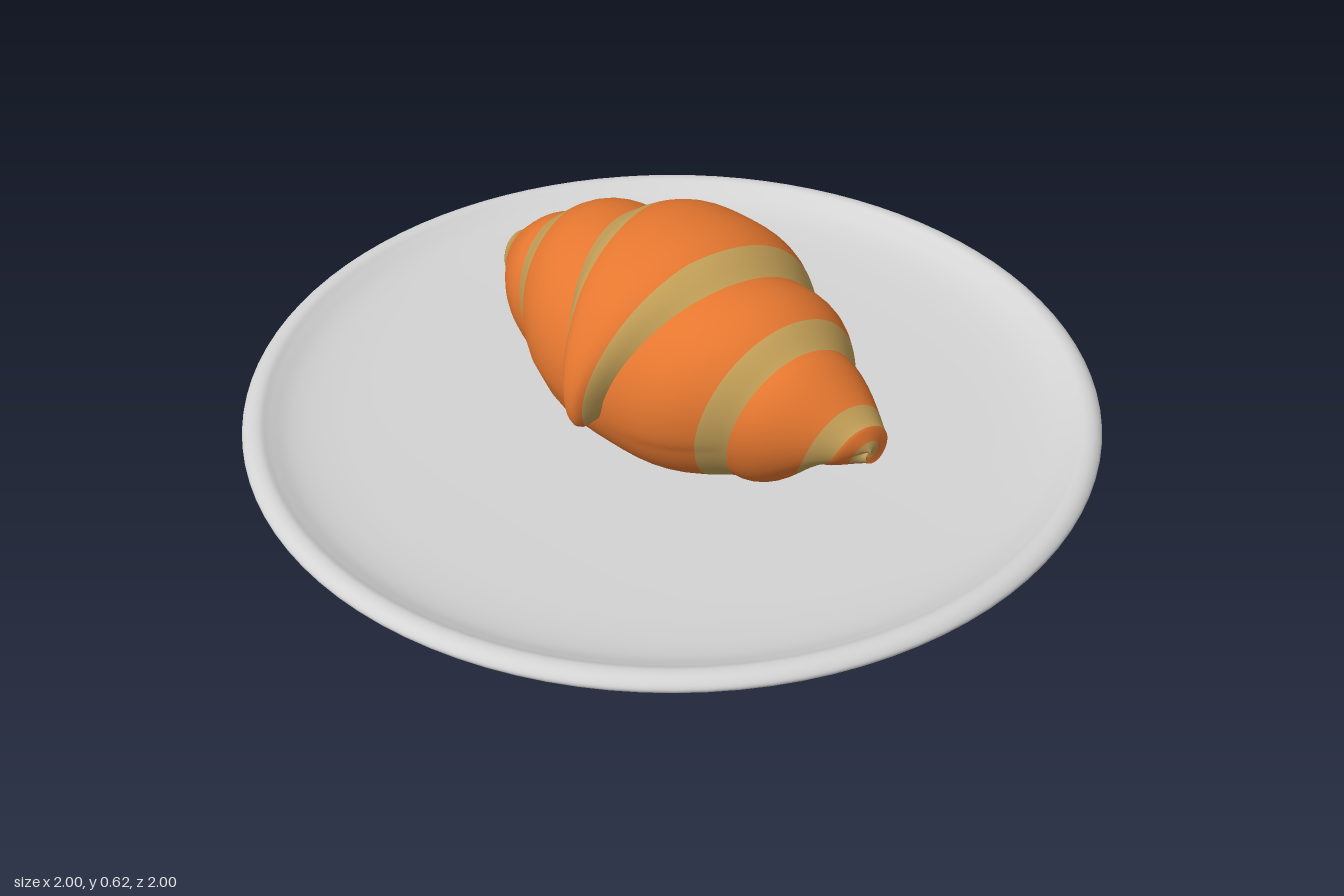
import * as THREE from 'three';

const AXIS_Y = 0.3, TIP_ANGLE = -18, END = 1440, ROWS = 480, COLS = 12, SPLIT = 6;

// Rolled sheet, unrolled angle in degrees from the outer tip: [angle, radius] and [angle, half width]
const RADIUS = [[0, 0.285], [6, 0.318], [20, 0.33], [55, 0.318], [108, 0.32], [190, 0.358], [216, 0.33], [245, 0.285],
  [288, 0.26], [360, 0.268], [468, 0.255], [558, 0.265], [648, 0.215], [720, 0.165], [828, 0.17], [918, 0.155], [1008, 0.085],
  [1080, 0.06], [1188, 0.06], [1278, 0.06], [1440, 0]];
const WIDTH = [[0, 0], [6, 0.028], [20, 0.05], [108, 0.19], [198, 0.23], [288, 0.27], [360, 0.325], [468, 0.4],
  [558, 0.43], [648, 0.465], [720, 0.525], [828, 0.565], [918, 0.58], [1008, 0.58], [1080, 0.578], [1188, 0.585], [1440, 0.57]];

// Smooth curve through the samples of a table
function sample(table, a) {
  const n = table.length - 1;
  if (a <= table[0][0]) return table[0][1];
  if (a >= table[n][0]) return table[n][1];
  let i = 0;
  while (table[i + 1][0] < a) i++;
  const slope = (k) => {
    const p = table[Math.max(k - 1, 0)], q = table[Math.min(k + 1, n)];
    return (q[1] - p[1]) / (q[0] - p[0]);
  };
  const [x0, y0] = table[i], [x1, y1] = table[i + 1];
  const h = x1 - x0, t = (a - x0) / h, t2 = t * t, t3 = t2 * t;
  return (2 * t3 - 3 * t2 + 1) * y0 + (t3 - 2 * t2 + t) * h * slope(i)
    + (3 * t2 - 2 * t3) * y1 + (t3 - t2) * h * slope(i + 1);
}

// One half of the roll: each turn runs from the edge of the turn above it to its own soft edge
function rolledHalf(side) {
  const positions = [], crust = [], edge = [];
  for (let i = 0; i <= ROWS; i++) {
    const a = END * i / ROWS;
    const theta = THREE.MathUtils.degToRad(a + TIP_ANGLE);
    const inner = sample(WIDTH, a - 360), outer = sample(WIDTH, a);
    const span = Math.max(outer - inner, 0.0001);
    const r1 = sample(RADIUS, a), r2 = sample(RADIUS, a + 360);
    const stripe = Math.min(0.075 - a * 0.00004, 0.4 * span);
    const split = 1 - stripe / span;
    // the inner turns taper more like a cone
    const power = 3 - 1.5 * THREE.MathUtils.smoothstep(a, 468, 828);
    for (let j = 0; j <= COLS; j++) {
      const s = j <= SPLIT ? split * j / SPLIT : split + (1 - split) * (j - SPLIT) / (COLS - SPLIT);
      const r = r2 + (r1 - r2) * Math.pow(Math.max(1 - s ** power, 0), 1.2);
      const x = inner + (outer - inner) * s;
      // the ends bend slightly down and back
      const bend = THREE.MathUtils.smoothstep(x, 0.4, 0.58);
      positions.push(side * x, AXIS_Y + r * Math.sin(theta) - 0.015 * bend, r * Math.cos(theta) - 0.025 * bend);
      if (i === ROWS || j === COLS) continue;
      const p = i * (COLS + 1) + j, q = p + 1, v = q + COLS + 1, u = v - 1;
      const quad = side > 0 ? [p, q, v, p, v, u] : [p, v, q, p, u, v];
      (j < SPLIT ? crust : edge).push(...quad);
    }
  }
  const g = new THREE.BufferGeometry();
  g.setAttribute('position', new THREE.Float32BufferAttribute(positions, 3));
  g.setIndex([...crust, ...edge]);
  g.addGroup(0, crust.length, 0);
  g.addGroup(crust.length, edge.length, 1);
  g.computeVertexNormals();
  return g;
}

export function createModel() {
  const material = (name, color) => {
    const m = new THREE.MeshStandardMaterial({ color });
    m.name = name;
    return m;
  };
  const china = material('plateGrey', 0xd4d4d4);
  const crust = material('crustOrange', 0xe57730);
  const dough = material('doughTan', 0xc4a058);

  const model = new THREE.Group();
  model.name = 'croissantOnPlate';

  // Plate: shallow dish with a rounded rim
  const profile = new THREE.SplineCurve([
    [0, 0], [0.3, 0], [0.5, 0.003], [0.62, 0.015], [0.78, 0.053], [0.92, 0.106], [0.985, 0.138], [1, 0.156],
    [0.985, 0.173], [0.96, 0.177], [0.935, 0.166], [0.89, 0.148], [0.82, 0.136], [0.7, 0.129], [0.35, 0.122], [0, 0.12],
  ].map(([x, y]) => new THREE.Vector2(x, y))).getPoints(75);
  profile.forEach((p) => p.set(THREE.MathUtils.clamp(p.x, 0, 1), Math.max(p.y, 0)));
  const plate = new THREE.Mesh(new THREE.LatheGeometry(profile, 96), china);
  plate.name = 'plate';
  model.add(plate);

  // Croissant: two mirrored halves
  const croissant = new THREE.Group();
  croissant.name = 'croissant';
  for (const side of [1, -1]) {
    const half = new THREE.Mesh(rolledHalf(side), [crust, dough]);
    half.name = side > 0 ? 'leftHalf' : 'rightHalf';
    croissant.add(half);
  }
  model.add(croissant);
  return model;
}
